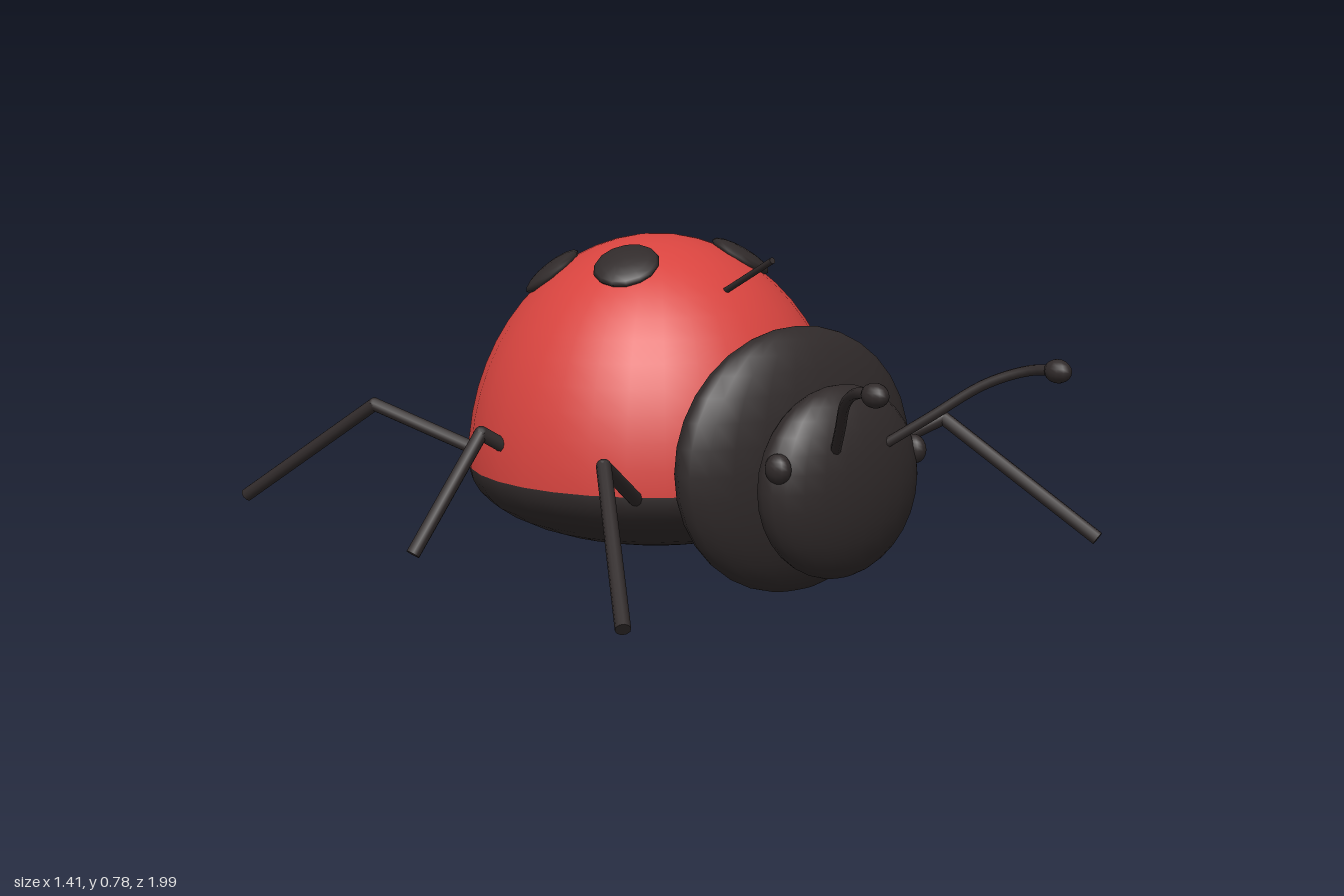
import * as THREE from 'three';

const black = new THREE.MeshStandardMaterial({ color: 0x302a2a });
black.name = 'charcoal black';
const red = new THREE.MeshStandardMaterial({ color: 0xd8443f });
red.name = 'shell red';

const UP = new THREE.Vector3(0, 1, 0);
const V = (x, y, z) => new THREE.Vector3(x, y, z);

// Shell ellipsoid: centre and radii
const C = V(0, 0.23, -0.14);
const R = V(0.463, 0.555, 0.463);

function ellipsoid(name, material, centre, radii, ws = 24, hs = 16, start = 0, length = Math.PI) {
  const geo = new THREE.SphereGeometry(1, ws, hs, 0, Math.PI * 2, start, length);
  geo.scale(radii.x, radii.y, radii.z);
  const mesh = new THREE.Mesh(geo, material);
  mesh.name = name;
  mesh.position.copy(centre);
  return mesh;
}

function rod(name, a, b, radius, sides = 10) {
  const dir = b.clone().sub(a);
  const mesh = new THREE.Mesh(new THREE.CylinderGeometry(radius, radius, dir.length(), sides), black);
  mesh.name = name;
  mesh.position.copy(a).add(b).multiplyScalar(0.5);
  mesh.quaternion.setFromUnitVectors(UP, dir.normalize());
  return mesh;
}

// Two-segment leg with a rounded knee
function leg(name, hip, knee, foot) {
  const g = new THREE.Group();
  g.name = name;
  g.add(rod('upperLeg', hip, knee, 0.017), rod('lowerLeg', knee, foot, 0.017));
  g.add(ellipsoid('knee', black, knee, V(0.017, 0.017, 0.017), 10, 8));
  return g;
}

// Flattened spot lying on the shell, aligned with the surface normal
function spot(x, z) {
  const dx = x - C.x, dz = z - C.z;
  const dy = R.y * Math.sqrt(1 - (dx / R.x) ** 2 - (dz / R.z) ** 2);
  const normal = V(dx / R.x ** 2, dy / R.y ** 2, dz / R.z ** 2).normalize();
  const mesh = ellipsoid('spot', black, V(x, C.y + dy, z), V(0.08, 0.022, 0.08), 14, 8);
  mesh.quaternion.setFromUnitVectors(UP, normal);
  return mesh;
}

export function createModel() {
  const model = new THREE.Group();
  model.name = 'beetle';

  // Shell dome and dark underside
  model.add(ellipsoid('shell', red, C, R, 32, 14, 0, Math.PI / 2));
  model.add(ellipsoid('belly', black, C, V(0.463, 0.19, 0.463), 32, 10, Math.PI / 2, Math.PI / 2));

  // Slim rod passing through the shell from front to back
  model.add(rod('shellRod', V(0, 0.76, 0.305), V(0, 0.305, -0.607), 0.008, 8));

  // Neck plate and head
  model.add(ellipsoid('neckPlate', black, V(0, 0.312, 0.39), V(0.333, 0.307, 0.11)));
  model.add(ellipsoid('head', black, V(0, 0.285, 0.545), V(0.22, 0.22, 0.1)));

  for (const s of [1, -1]) {
    const side = s > 0 ? 'left' : 'right';

    for (const [x, z] of [[0.17, -0.03], [0.205, -0.29], [0.083, -0.48]]) model.add(spot(s * x, z));

    model.add(ellipsoid(side + 'Eye', black, V(s * 0.197, 0.342, 0.573), V(0.027, 0.034, 0.034), 12, 10));

    // Curved antenna with a rounded tip
    const path = new THREE.CatmullRomCurve3([
      V(s * 0.06, 0.36, 0.6), V(s * 0.13, 0.44, 0.7), V(s * 0.2, 0.52, 0.8),
      V(s * 0.245, 0.557, 0.89), V(s * 0.26, 0.565, 0.96),
    ]);
    const antenna = new THREE.Mesh(new THREE.TubeGeometry(path, 20, 0.012, 8), black);
    antenna.name = side + 'Antenna';
    model.add(antenna);
    model.add(ellipsoid(side + 'AntennaTip', black, V(s * 0.26, 0.563, 0.96), V(0.026, 0.026, 0.034), 12, 10));

    // Legs
    model.add(leg(side + 'FrontLeg', V(s * 0.29, 0.215, 0.18), V(s * 0.5, 0.348, 0.345), V(s * 0.69, 0.085, 0.682)));
    model.add(leg(side + 'MiddleLeg', V(s * 0.3, 0.22, -0.11), V(s * 0.5, 0.348, -0.153), V(s * 0.69, 0.085, -0.153)));
    model.add(leg(side + 'BackLeg', V(s * 0.33, 0.24, -0.39), V(s * 0.5, 0.348, -0.65), V(s * 0.69, 0.085, -0.985)));
  }
  return model;
}
